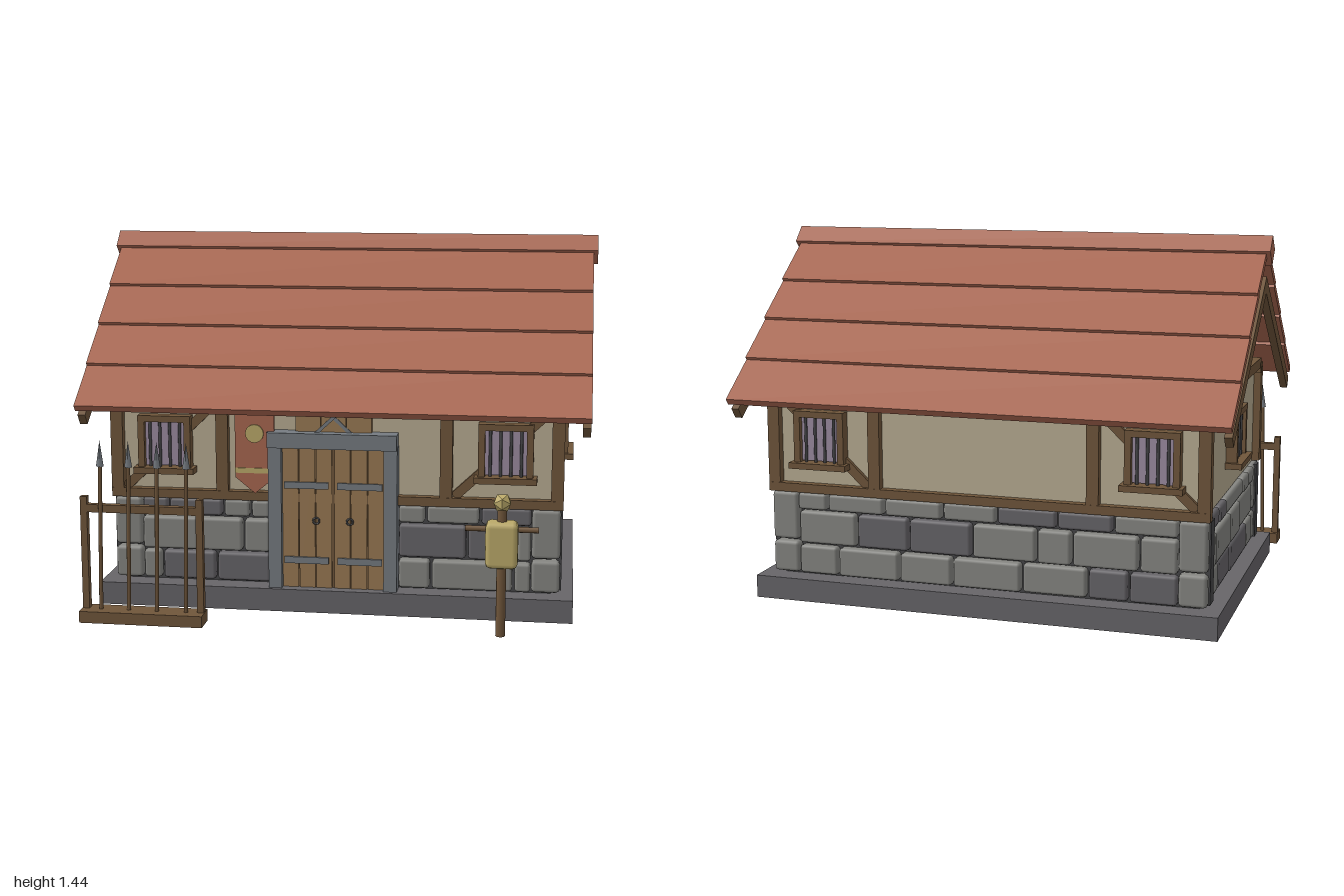
import * as THREE from 'three';
import { RoundedBoxGeometry } from 'three/addons/geometries/RoundedBoxGeometry.js';

const mat = (name, color) => {
  const m = new THREE.MeshStandardMaterial({ color });
  m.name = name;
  return m;
};

export function createModel() {
  const roofRed = mat('roof red', 0xa96751), plaster = mat('plaster', 0xb9ad93);
  const beam = mat('beam brown', 0x70563b), doorWood = mat('door wood', 0x9a7a54);
  const stone = mat('light stone', 0x868682), darkStone = mat('dark stone', 0x676569);
  const mortar = mat('mortar', 0x454547), iron = mat('iron grey', 0x767c82);
  const glass = mat('window glass', 0x9c8ca1), gold = mat('straw gold', 0xbcaa6a);

  const model = new THREE.Group();
  const house = new THREE.Group();
  house.name = 'house';
  house.position.z = -0.07;
  model.add(house);

  const add = (parent, name, geo, m, x = 0, y = 0, z = 0) => {
    const mesh = new THREE.Mesh(geo, m);
    mesh.name = name;
    mesh.position.set(x, y, z);
    parent.add(mesh);
    return mesh;
  };
  // Box given by its limits on each axis
  const box = (parent, name, m, x0, x1, y0, y1, z0, z1) =>
    add(parent, name, new THREE.BoxGeometry(x1 - x0, y1 - y0, z1 - z0), m,
      (x0 + x1) / 2, (y0 + y1) / 2, (z0 + z1) / 2);
  // Profile in (z, y), extruded along x and centred on x
  const alongX = (parent, name, m, pts, len, x = 0) => {
    const shape = new THREE.Shape(pts.map(([z, y]) => new THREE.Vector2(-z, y)));
    const geo = new THREE.ExtrudeGeometry(shape, { depth: len, bevelEnabled: false });
    geo.translate(0, 0, -len / 2).rotateY(Math.PI / 2);
    return add(parent, name, geo, m, x);
  };
  // Round bar between two points
  const rod = (parent, name, m, a, b, r0, r1 = r0, n = 8) => {
    const p = new THREE.Vector3(...a), q = new THREE.Vector3(...b), d = q.clone().sub(p);
    const mesh = add(parent, name, new THREE.CylinderGeometry(r1, r0, d.length(), n), m);
    mesh.position.copy(p).add(q).multiplyScalar(0.5);
    mesh.quaternion.setFromUnitVectors(new THREE.Vector3(0, 1, 0), d.normalize());
    return mesh;
  };

  // Foundation and stone core
  box(house, 'foundation', darkStone, -0.93, 0.93, 0, 0.09, -0.635, 0.635);
  box(house, 'stoneCore', mortar, -0.845, 0.845, 0.08, 0.43, -0.545, 0.545);

  // Stone courses: breaks along each wall, three rows
  const rows = [[0.1, 0.213], [0.222, 0.352], [0.361, 0.428]];
  const layStones = (parent, breaks, front, skip, seed) => breaks.forEach((list, r) => {
    for (let i = 0; i < list.length - 1; i++) {
      const a = list[i] + 0.005, b = list[i + 1] - 0.005;
      if (skip && a > -0.26 && b < 0.26) continue;
      const [y0, y1] = rows[r], k = (i * 3 + r * 5 + seed) % 7;
      add(parent, 'wallStone', new RoundedBoxGeometry(b - a, y1 - y0, 0.06, 1, 0.012),
        k === 1 || k === 5 ? darkStone : stone, (a + b) / 2, (y0 + y1) / 2, front - 0.03 - (k % 3) * 0.004);
    }
  });
  const longBreaks = [
    [-0.77, -0.69, -0.47, -0.25, 0.25, 0.38, 0.7, 0.77],
    [-0.77, -0.54, -0.36, -0.25, 0.25, 0.52, 0.71, 0.77],
    [-0.77, -0.66, -0.44, -0.33, -0.25, 0.25, 0.36, 0.57, 0.77]];
  const backBreaks = [
    [-0.77, -0.6, -0.34, -0.12, 0.16, 0.42, 0.58, 0.77],
    [-0.77, -0.52, -0.3, -0.04, 0.22, 0.36, 0.62, 0.77],
    [-0.77, -0.64, -0.4, -0.16, 0.06, 0.3, 0.52, 0.77]];
  const sideBreaks = [
    [-0.45, -0.32, -0.075, 0.31, 0.45],
    [-0.45, -0.395, -0.09, 0.125, 0.45],
    [-0.45, -0.31, -0.175, 0.2, 0.33, 0.45]];
  [[longBreaks, 0.585, true, 0, 2], [backBreaks, 0.585, false, Math.PI, 4],
    [sideBreaks, 0.88, false, Math.PI / 2, 2], [sideBreaks, 0.88, false, -Math.PI / 2, 2]]
    .forEach(([b, front, skip, turn, seed]) => {
      const wall = new THREE.Group();
      wall.name = 'stoneWall';
      wall.rotation.y = turn;
      house.add(wall);
      layStones(wall, b, front, skip, seed);
    });
  // Corner stones with a dark strip on the gable side
  for (const sx of [-1, 1]) for (const sz of [-1, 1]) {
    for (const [y0, y1] of [[0.1, 0.226], [0.234, 0.428]])
      add(house, 'cornerStone', new RoundedBoxGeometry(0.11, y1 - y0, 0.13, 1, 0.015), stone,
        sx * 0.823, (y0 + y1) / 2, sz * 0.518);
    add(house, 'cornerStrip', new THREE.BoxGeometry(0.02, 0.32, 0.066), mortar, sx * 0.874, 0.265, sz * 0.515);
  }

  // Plastered upper walls with both gables
  alongX(house, 'plasterWalls', plaster,
    [[-0.555, 0.43], [-0.555, 0.825], [0, 1.225], [0.555, 0.825], [0.555, 0.43]], 1.71);

  // Timber frame, alike on front and back
  for (const s of [-1, 1]) {
    for (const x of [-0.862, -0.44, 0.437, 0.862])
      add(house, 'post', new THREE.BoxGeometry(0.048, 0.41, 0.045), beam, x, 0.635, s * 0.565);
    add(house, 'sillBeam', new THREE.BoxGeometry(1.77, 0.035, 0.05), beam, 0, 0.448, s * 0.564);
    add(house, 'wallPlate', new THREE.BoxGeometry(1.77, 0.043, 0.05), beam, 0, 0.838, s * 0.56);
    for (const x of [-0.65, 0.65]) {
      const brace = add(house, 'brace', new THREE.BoxGeometry(0.5, 0.036, 0.03), beam, x, 0.64, s * 0.558);
      brace.rotation.z = Math.atan2(0.35, 0.37);
    }
    add(house, 'gableTie', new THREE.BoxGeometry(0.035, 0.043, 1.12), beam, s * 0.865, 0.858, 0);
    // Barge boards
    alongX(house, 'bargeBoard', beam, [[0, 1.28], [0.705, 0.775], [0.675, 0.735], [0, 1.215],
      [-0.675, 0.735], [-0.705, 0.775]], 0.03, s * 0.965);
  }

  // Barred windows
  const windowUnit = (w, x, z, turn) => {
    const g = new THREE.Group();
    g.name = 'window';
    g.position.set(x, 0, z);
    g.rotation.y = turn;
    house.add(g);
    const h = w / 2, t = 0.026;
    box(g, 'windowGlass', glass, -h + t, h - t, 0.56, 0.735, 0, 0.022);
    for (const s of [-1, 1])
      add(g, 'windowJamb', new THREE.BoxGeometry(t, 0.205, 0.045), beam, s * (h - t / 2), 0.657, 0.022);
    box(g, 'windowHead', beam, -h, h, 0.735, 0.76, 0, 0.046);
    box(g, 'windowSill', beam, -h - 0.015, h + 0.015, 0.532, 0.556, 0, 0.066);
    for (let i = 0; i < 4; i++) {
      const bx = (i - 1.5) * (w - 2 * t) / 4;
      rod(g, 'windowBar', mortar, [bx, 0.555, 0.028], [bx, 0.737, 0.028], 0.006);
    }
  };
  for (const x of [-0.668, 0.664]) {
    windowUnit(0.21, x, 0.555, 0);
    windowUnit(0.21, x, -0.555, Math.PI);
  }
  for (const s of [-1, 1]) windowUnit(0.225, s * 0.855, 0, s * Math.PI / 2);

  // Roof courses, overlapping upward on each slope
  const tilt = 0.63, c = Math.cos(tilt), sn = Math.sin(tilt), th = 0.028;
  for (const s of [-1, 1]) for (let i = 0; i < 4; i++) {
    const z = 0.742 - 0.17 * i, y = 0.818 + 0.14 * i, len = i === 3 ? 0.27 : 0.245;
    alongX(house, 'roofCourse', roofRed, [[0, 0], [-len * c, len * sn],
      [-len * c - th * sn, len * sn - th * c], [-th * sn, -th * c]]
      .map(([a, b]) => [s * (z + a), y + b]), 1.965);
  }
  add(house, 'ridgeCap', new THREE.BoxGeometry(2, 0.083, 0.083), roofRed, 0, 1.381, 0).rotation.x = Math.PI / 4;

  // Door with stone frame
  for (const s of [-1, 1]) {
    add(house, 'doorJamb', new THREE.BoxGeometry(0.052, 0.57, 0.075), iron, s * 0.226, 0.375, 0.58);
    for (let i = 0; i < 3; i++)
      add(house, 'doorPlank', new THREE.BoxGeometry(0.062, 0.56, 0.05), doorWood, s * (0.036 + i * 0.066), 0.37, 0.568);
    for (const y of [0.2, 0.5])
      add(house, 'doorStrap', new THREE.BoxGeometry(0.175, 0.026, 0.01), iron, s * 0.105, y, 0.596);
    add(house, 'doorHandle', new THREE.TorusGeometry(0.012, 0.004, 6, 12), mortar, s * 0.066, 0.36, 0.597);
  }
  box(house, 'doorBacking', beam, -0.2, 0.2, 0.09, 0.65, 0.54, 0.586);
  box(house, 'doorLintel', iron, -0.255, 0.25, 0.65, 0.71, 0.54, 0.625);

  // Plank sign with crossed blades above the door
  for (let i = -1; i <= 1; i++)
    add(house, 'signPlank', new THREE.BoxGeometry(0.097, 0.15, 0.025), doorWood, i * 0.1, 0.775, 0.567);
  for (const s of [-1, 1])
    add(house, 'signBlade', new THREE.BoxGeometry(0.2, 0.013, 0.009), iron, 0, 0.768, 0.583 + s * 0.003)
      .rotation.z = s * 0.75;

  // Hanging banner
  const cloth = new THREE.Shape([[-0.385, 0.83], [-0.385, 0.525], [-0.307, 0.462], [-0.23, 0.525], [-0.23, 0.83]]
    .map((p) => new THREE.Vector2(...p)));
  add(house, 'banner', new THREE.ExtrudeGeometry(cloth, { depth: 0.01, bevelEnabled: false }), roofRed, 0, 0, 0.587);
  box(house, 'bannerStripe', gold, -0.385, -0.23, 0.543, 0.563, 0.597, 0.601);
  add(house, 'bannerDisc', new THREE.CylinderGeometry(0.036, 0.036, 0.006, 20), gold, -0.307, 0.7, 0.6)
    .rotation.x = Math.PI / 2;
  rod(house, 'bannerRod', beam, [-0.4, 0.83, 0.592], [-0.215, 0.83, 0.592], 0.01);

  // Spear rack
  const rack = new THREE.Group();
  rack.name = 'spearRack';
  model.add(rack);
  box(rack, 'rackBase', beam, -0.94, -0.46, 0, 0.045, 0.715, 0.813);
  for (const x of [-0.925, -0.475]) box(rack, 'rackPost', beam, x - 0.013, x + 0.013, 0.04, 0.485, 0.738, 0.766);
  box(rack, 'rackRail', beam, -0.938, -0.462, 0.425, 0.455, 0.738, 0.766);
  for (const x of [-0.848, -0.738, -0.628, -0.515]) {
    rod(rack, 'spearShaft', beam, [x - 0.018, 0.04, 0.765], [x, 0.62, 0.788], 0.008);
    rod(rack, 'spearHead', iron, [x, 0.61, 0.788], [x + 0.002, 0.71, 0.792], 0.015, 0, 4);
  }

  // Training dummy
  const dummy = new THREE.Group();
  dummy.name = 'trainingDummy';
  dummy.position.set(0.663, 0, 0.745);
  model.add(dummy);
  rod(dummy, 'dummyPole', beam, [0, 0, 0], [0, 0.49, 0], 0.018);
  rod(dummy, 'dummyArms', beam, [-0.135, 0.41, 0], [0.135, 0.41, 0], 0.011);
  add(dummy, 'dummyBody', new RoundedBoxGeometry(0.12, 0.175, 0.088, 1, 0.02), gold, 0, 0.353, 0);
  const head = new THREE.IcosahedronGeometry(0.037, 0);
  add(dummy, 'dummyHead', head, gold, 0, 0.51, 0);
  return model;
}
